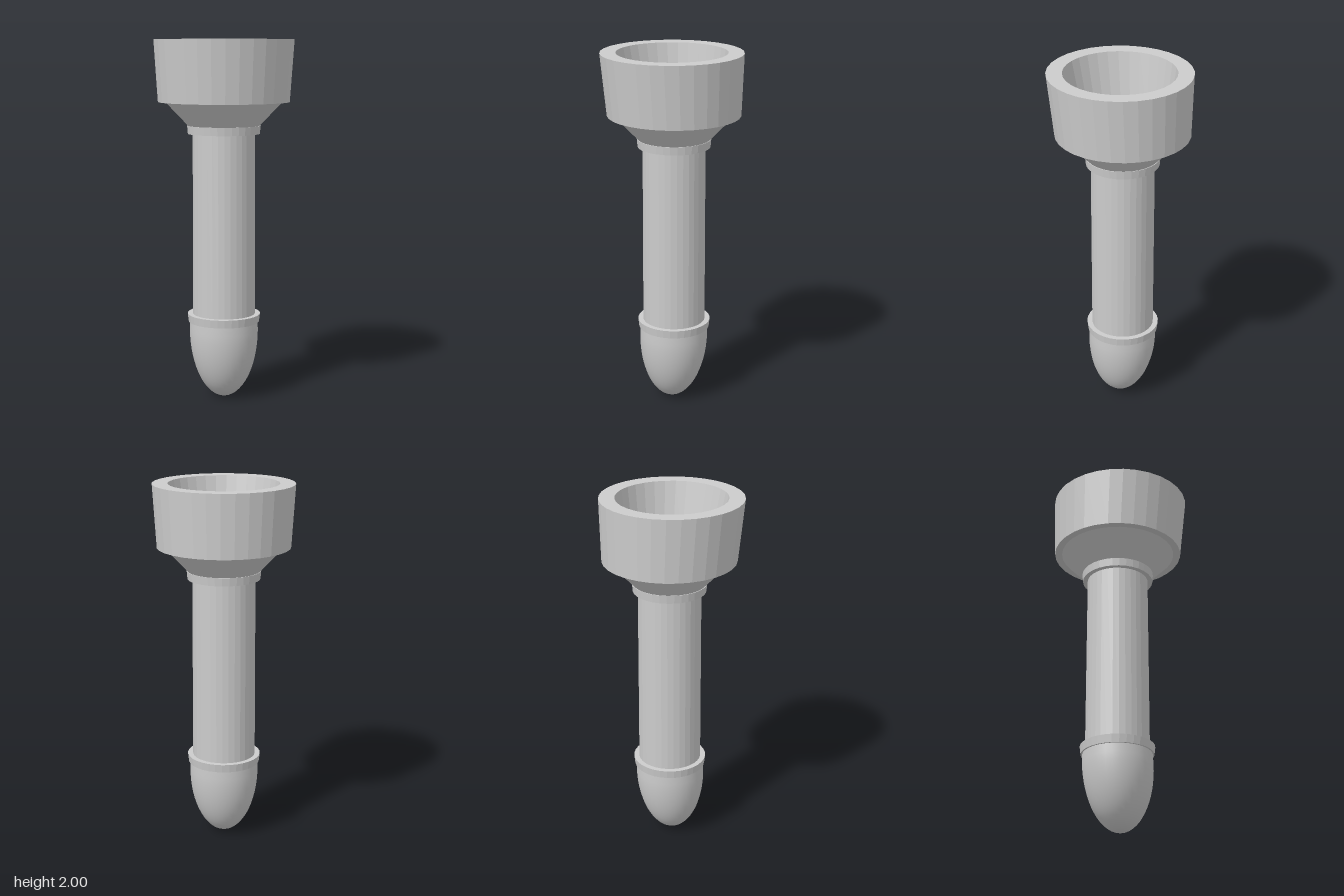
import * as THREE from 'three';

const SEGMENTS = 32;

// Slight lean: the axis drifts off centre below the rim and returns at the tip
function lean(geometry) {
  const p = geometry.attributes.position;
  for (let i = 0; i < p.count; i++) {
    const y = p.getY(i);
    const t = Math.min(1, Math.max(0, (2 - y) / 0.34), Math.max(0, y / 0.43));
    p.setX(i, p.getX(i) - 0.009 * t);
    p.setZ(i, p.getZ(i) - 0.012 * t);
  }
  geometry.computeBoundingSphere();
  return geometry;
}

// Turned part from a profile of [radius, height], bottom to top
function turned(name, profile, flatShading = true) {
  const points = profile.map(([r, y]) => new THREE.Vector2(r, y));
  const mesh = new THREE.Mesh(
    lean(new THREE.LatheGeometry(points, SEGMENTS)),
    new THREE.MeshStandardMaterial({ color: 0xcccccc, flatShading })
  );
  mesh.name = name;
  return mesh;
}

export function createModel() {
  const model = new THREE.Group();
  model.name = 'pin';

  // Rounded tip: half an ellipse, smooth
  const tip = [];
  for (let i = 0; i <= 16; i++) {
    const a = (i / 16) * Math.PI / 2;
    tip.push([0.192 * Math.sin(a), 0.38 * (1 - Math.cos(a))]);
  }
  tip.push([0.19, 0.435]);
  model.add(turned('roundedTip', tip, false));

  // Collars at both ends of the shaft
  model.add(turned('lowerCollar', [[0, 0.43], [0.199, 0.43], [0.204, 0.475], [0, 0.475]]));
  model.add(turned('upperCollar', [[0, 1.485], [0.199, 1.485], [0.203, 1.53], [0, 1.53]]));

  // Shaft
  model.add(turned('shaft', [[0.175, 0.47], [0.172, 1.49]]));

  // Hollow head: cone underneath, thick band, sloped bowl inside
  model.add(turned('hollowHead', [
    [0.194, 1.525], [0.323, 1.66], [0.363, 1.66], [0.385, 2],
    [0.3, 2], [0.244, 1.66], [0.157, 1.535], [0, 1.535]
  ]));

  return model;
}
